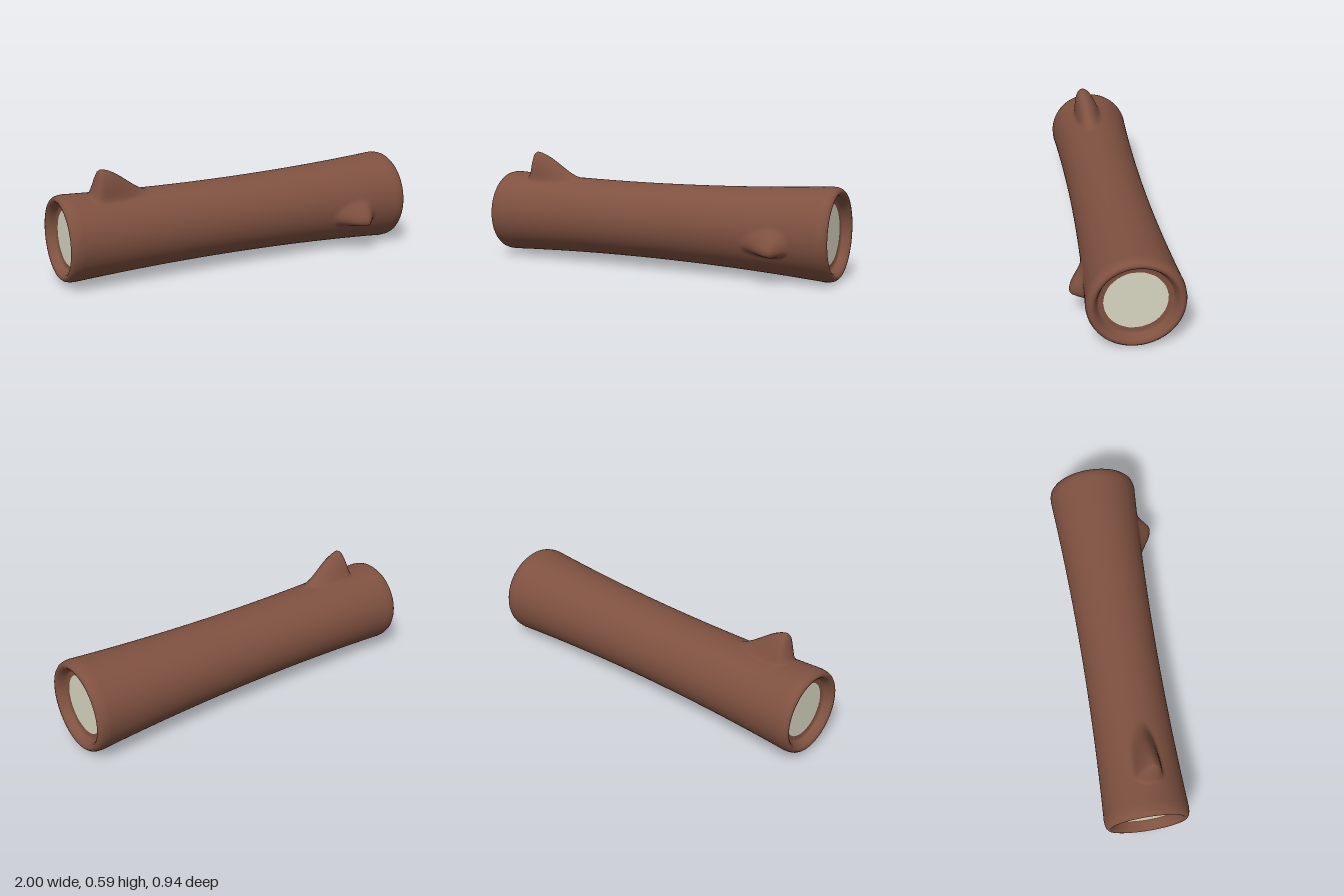
import * as THREE from 'three';
import { mergeVertices } from 'three/addons/utils/BufferGeometryUtils.js';

const bark = new THREE.MeshStandardMaterial({ color: 0x7f5140 });
const wood = new THREE.MeshStandardMaterial({ color: 0xdad8c2 });

// Log radius along its length, waisted and slightly thicker at one end
const radiusAt = (s) => 0.204 + 0.0327 * s * s + 0.0105 * s;

// Rim section from the recessed floor, over the lip, to the outside: [radius fraction, s]
const RIM = [
  [0.64, 0.93], [0.74, 0.93], [0.765, 0.937], [0.79, 0.953], [0.83, 0.971],
  [0.88, 0.98], [0.93, 0.978], [0.97, 0.967], [0.992, 0.95], [1, 0.925],
];

// Branch stubs: s position, angle from the top towards the front, height,
// spread along the log (behind, ahead) and around it (towards top, away from top)
const KNOTS = [
  { s: -0.765, angle: 0.17, height: 0.138, along: [0.055, 0.29], around: [0.085, 0.08] },
  { s: 0.7, angle: 1.83, height: 0.075, along: [0.19, 0.09], around: [0.11, 0.055] },
];

function knotHeight(k, s, angle, r) {
  const ds = s - k.s;
  const da = (angle - k.angle) * r;
  const u = ds / k.along[ds < 0 ? 0 : 1];
  const v = da / k.around[da < 0 ? 0 : 1];
  const f = Math.max(0, 1 - Math.hypot(u, v));
  return k.height * f * f * (3 - 2 * f);
}

function barkGeometry() {
  const rim = (side) => RIM.map(([f, s]) => new THREE.Vector2(f * radiusAt(side * 0.93), side * s));
  const steps = 170;
  const body = [];
  for (let i = 1; i < steps; i++) {
    const s = -0.925 + (1.85 * i) / steps;
    body.push(new THREE.Vector2(radiusAt(s), s));
  }
  let geo = new THREE.LatheGeometry([...rim(-1), ...body, ...rim(1).reverse()], 128);
  geo.rotateZ(-Math.PI / 2); // lay the axis along x

  // Pull the branch stubs out of the surface
  const p = geo.attributes.position;
  for (let i = 0; i < p.count; i++) {
    const s = p.getX(i), y = p.getY(i), z = p.getZ(i);
    if (Math.abs(s) > 0.92) continue;
    const r = Math.hypot(y, z);
    const angle = Math.atan2(z, y);
    let h = 0;
    for (const k of KNOTS) h += knotHeight(k, s, angle, r);
    p.setY(i, y * (1 + h / r));
    p.setZ(i, z * (1 + h / r));
  }
  // Weld the seam for smooth shading
  geo.deleteAttribute('uv');
  geo.deleteAttribute('normal');
  geo = mergeVertices(geo, 1e-5);
  geo.computeVertexNormals();
  return geo;
}

export function createModel() {
  const log = new THREE.Group();
  log.name = 'log';

  const shell = new THREE.Mesh(barkGeometry(), bark);
  shell.name = 'bark';
  log.add(shell);

  // Pale cut wood set into each end
  for (const side of [-1, 1]) {
    const disc = new THREE.Mesh(new THREE.CircleGeometry(0.645 * radiusAt(side * 0.93), 64), wood);
    disc.name = side < 0 ? 'rightCutFace' : 'leftCutFace';
    disc.rotation.y = (side * Math.PI) / 2;
    disc.position.x = side * 0.93;
    log.add(disc);
  }

  log.rotation.y = 0.266;
  log.position.y = 0.24;

  const model = new THREE.Group();
  model.name = 'hollowEndedLog';
  model.add(log);
  return model;
}
